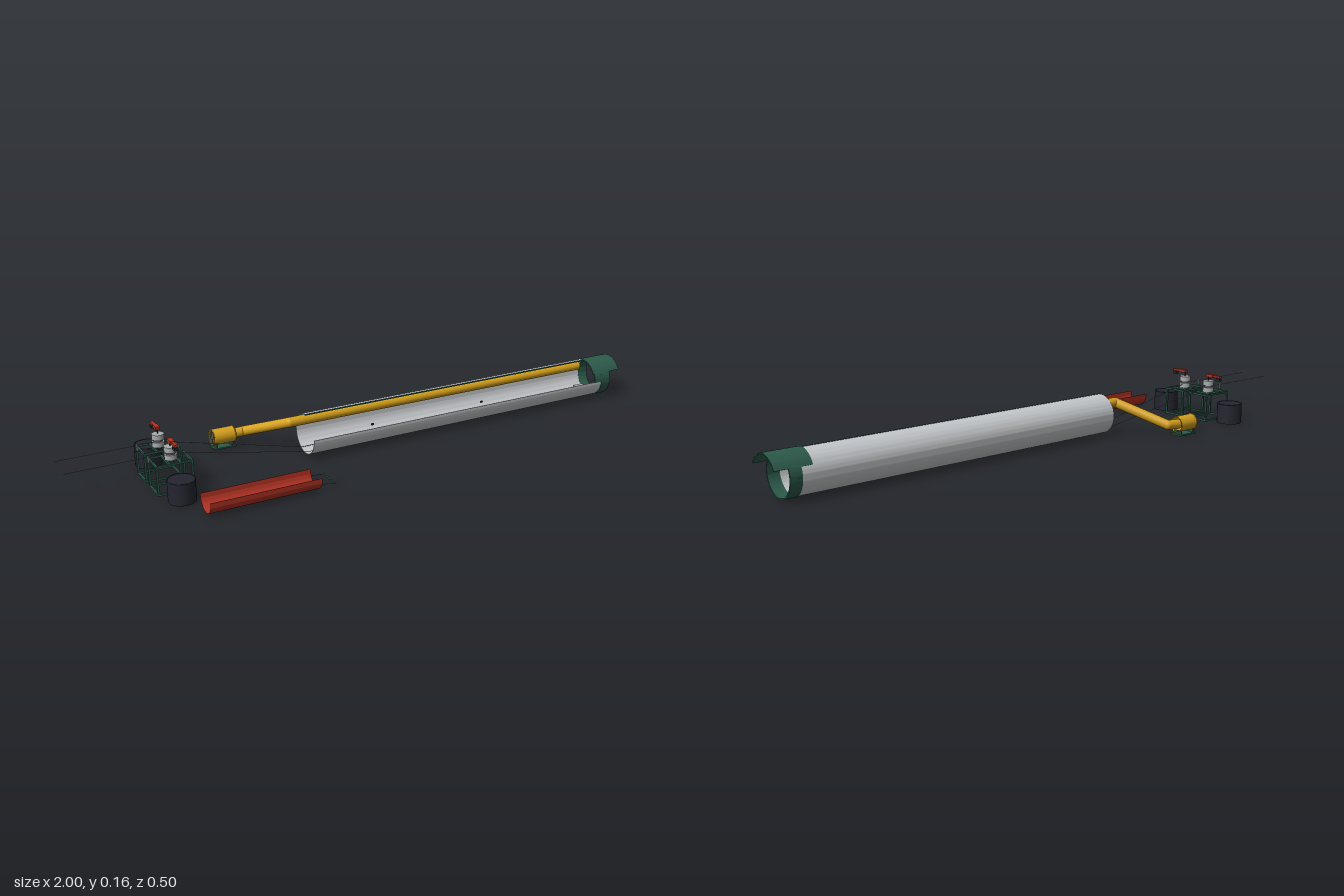
import * as THREE from 'three';
import { toCreasedNormals } from 'three/addons/utils/BufferGeometryUtils.js';

const mat = (name, color, side = THREE.FrontSide) => {
  const m = new THREE.MeshStandardMaterial({ color, side });
  m.name = name;
  return m;
};

export function createModel() {
  const root = new THREE.Group();
  root.name = 'cuttingPlant';
  const shellGrey = mat('shellGrey', 0xc6c9cc);
  const yellow = mat('ductYellow', 0xd6a11c, THREE.DoubleSide);
  const red = mat('red', 0xb23122);
  const green = mat('frameGreen', 0x2c5a4b);
  const dark = mat('drumDark', 0x252531);
  const steel = mat('steel', 0xa9adb0);
  const cableGrey = mat('cableGrey', 0x55585c);

  const add = (name, geo, material, p = [0, 0, 0], parent = root) => {
    const m = new THREE.Mesh(geo, material);
    m.name = name;
    m.position.set(...p);
    parent.add(m);
    return m;
  };
  const box = (name, size, p, material, parent) => add(name, new THREE.BoxGeometry(...size), material, p, parent);

  // round bar between two points
  const rod = (name, a, b, r, material, parent = root, sides = 6) => {
    const A = new THREE.Vector3(...a), B = new THREE.Vector3(...b), d = B.clone().sub(A);
    const m = add(name, new THREE.CylinderGeometry(r, r, d.length(), sides), material, [0, 0, 0], parent);
    m.position.copy(A).add(B).multiplyScalar(0.5);
    m.quaternion.setFromUnitVectors(new THREE.Vector3(0, 1, 0), d.normalize());
    return m;
  };

  // curved plate along x; angles in degrees: 0 back, 90 top, 180 front, 270 bottom
  const arcShell = (name, x0, x1, y, z, r, t, from, to, material) => {
    const a = THREE.MathUtils.degToRad(from), b = THREE.MathUtils.degToRad(to);
    const s = new THREE.Shape();
    s.absarc(0, 0, r, a, b, false);
    s.absarc(0, 0, r - t, b, a, true);
    s.closePath();
    const g = new THREE.ExtrudeGeometry(s, { depth: x1 - x0, bevelEnabled: false, curveSegments: 40 });
    g.rotateY(Math.PI / 2);
    return add(name, toCreasedNormals(g, 0.6), material, [x0, y, z]);
  };

  // long cutaway pipe with its rails
  const CY = 0.069, CZ = -0.036, R = 0.066;
  arcShell('mainPipe', -0.23, 0.95, CY, CZ, R, 0.002, 180, 450, shellGrey);
  box('topRail', [1.11, 0.004, 0.004], [0.325, CY + R - 0.001, CZ + 0.001], green);
  for (const x of [-0.02, 0.4])
    box('edgeClip', [0.008, 0.006, 0.004], [x, 0.083, CZ + R - 0.004], dark);

  // floor plates inside the pipe
  for (let i = 0; i < 4; i++) {
    const x = 0.045 + i * 0.194;
    box('floorPlate', [0.168, 0.005, 0.016], [x, 0.009, -0.025], steel);
    for (const s of [-1, 1])
      box('floorPlateEdge', [0.17, 0.006, 0.002], [x, 0.009, -0.025 + s * 0.009], cableGrey);
  }

  // end collar and hood
  arcShell('endCollar', 0.915, 0.953, CY, CZ, R + 0.0015, 0.004, 0, 359.9, green);
  arcShell('collarCheek', 0.885, 0.92, CY, CZ, R + 0.001, 0.003, 150, 182, green);
  arcShell('hood', 0.88, 0.995, CY, CZ, R + 0.0015, 0.003, 26, 154, green);

  // carriage hauled along the floor
  box('carriageBase', [0.07, 0.02, 0.034], [0.88, 0.017, -0.042], green);
  box('carriageTop', [0.04, 0.009, 0.026], [0.88, 0.0315, -0.044], steel);
  const scoop = add('carriageScoop', new THREE.CylinderGeometry(0.016, 0.011, 0.02, 4), steel, [0.89, 0.018, -0.018]);
  scoop.rotation.y = Math.PI / 4;

  // ventilation duct inside the pipe, then down to the fan
  const DY = 0.106, DZ = -0.066, FY = 0.038, FZ = -0.224, DR = 0.016;
  const ductPoints = [[0.88, DY, DZ], [-0.268, DY, DZ], [-0.362, FY + 0.003, FZ + 0.004], [-0.41, FY, FZ]];
  for (let i = 0; i < 3; i++) rod('duct', ductPoints[i], ductPoints[i + 1], DR, yellow, root, 28);
  for (const p of ductPoints.slice(1, 3)) add('ductElbow', new THREE.SphereGeometry(DR, 24, 16), yellow, p);

  // fan housing with grille and foot
  const fan = new THREE.Group();
  fan.name = 'fan';
  fan.position.set(-0.435, FY, FZ);
  root.add(fan);
  const housing = add('fanHousing', new THREE.CylinderGeometry(0.026, 0.026, 0.075, 32, 1, true), yellow, [0, 0, 0], fan);
  housing.rotation.z = Math.PI / 2;
  for (const x of [-0.037, 0.037]) {
    const rim = add('fanRim', new THREE.TorusGeometry(0.026, 0.0015, 6, 32), yellow, [x, 0, 0], fan);
    rim.rotation.y = Math.PI / 2;
  }
  for (let i = -4; i <= 4; i++) {
    const h = 2 * Math.sqrt(0.026 ** 2 - (i * 0.0055) ** 2);
    box('grilleUpright', [0.001, h, 0.0014], [-0.036, 0, i * 0.0055], steel, fan);
    box('grilleCrossbar', [0.001, 0.0014, h], [-0.035, i * 0.0055, 0], steel, fan);
  }
  box('fanFoot', [0.075, 0.005, 0.046], [0, -0.0345, 0], green, fan);
  for (const x of [-0.028, 0.028]) box('fanBracket', [0.006, 0.012, 0.034], [x, -0.027, 0], green, fan);

  // two mirrored winch stands
  const MZ = -0.055;
  for (const s of [1, -1]) {
    const Z = (z) => MZ + s * (z - MZ);
    const stand = new THREE.Group();
    stand.name = s > 0 ? 'frontWinch' : 'backWinch';
    root.add(stand);
    const xs = [-0.742, -0.633], zs = [-0.038, 0.037], T = 0.006;
    for (const x of xs) {
      for (const z of zs) box('standLeg', [T, 0.094, T], [x, 0.047, Z(z)], green, stand);
      for (const y of [0.003, 0.092]) box('standCrossbar', [T, T, 0.075], [x, y, Z(-0.0005)], green, stand);
    }
    for (const z of zs)
      for (const y of [0.003, 0.092]) box('standRail', [0.109, T, T], [-0.6875, y, Z(z)], green, stand);
    for (const x of [-0.702, -0.668]) box('motorBearer', [T, T, 0.075], [x, 0.092, Z(-0.0005)], green, stand);

    // drive, shaft and swing arm
    add('motorBase', new THREE.CylinderGeometry(0.019, 0.019, 0.016, 20), steel, [-0.685, 0.103, Z(0)], stand);
    add('motorNeck', new THREE.CylinderGeometry(0.014, 0.014, 0.008, 20), cableGrey, [-0.685, 0.114, Z(0)], stand);
    add('motorHead', new THREE.CylinderGeometry(0.019, 0.019, 0.017, 20), steel, [-0.685, 0.1265, Z(0)], stand);
    rod('shaft', [-0.685, 0.13, Z(0)], [-0.685, 0.152, Z(0)], 0.002, dark, stand, 10);
    box('swingArm', [0.01, 0.007, 0.062], [-0.685, 0.153, Z(0.0245)], red, stand);
    box('armHub', [0.014, 0.01, 0.03], [-0.685, 0.153, Z(0.009)], red, stand);
    box('armWeight', [0.012, 0.009, 0.018], [-0.685, 0.143, Z(0.046)], dark, stand);

    // drum beside the stand
    add('drum', new THREE.CylinderGeometry(0.042, 0.042, 0.067, 28), dark, [-0.69, 0.0335, Z(0.095)], stand);
    const lip = add('drumLip', new THREE.TorusGeometry(0.041, 0.0015, 6, 28), dark, [-0.69, 0.067, Z(0.095)], stand);
    lip.rotation.x = Math.PI / 2;

    // cable guide and cable run
    box('cablePost', [0.004, 0.022, 0.004], [-0.753, 0.104, Z(-0.004)], steel, stand);
    box('cablePostFoot', [0.016, 0.004, 0.006], [-0.748, 0.094, Z(-0.004)], green, stand);
    const run = [[-1, 0.111, Z(-0.004)], [-0.685, 0.111, Z(-0.004)], [-0.23, 0.017, CZ + s * 0.022], [0.9, 0.015, CZ + s * 0.03]];
    for (let i = 0; i < 3; i++) rod('cable', run[i], run[i + 1], 0.0008, cableGrey, stand);
    const pulley = add('pulley', new THREE.CylinderGeometry(0.005, 0.005, 0.004, 16), dark, [0.9, 0.016, CZ + s * 0.03], stand);
    pulley.rotation.x = Math.PI / 2;
  }

  // open trough with its tow bar
  arcShell('trough', -0.662, -0.312, 0.041, 0.209, 0.04, 0.0012, 172, 368, red);
  box('towBar', [0.004, 0.004, 0.076], [-0.27, 0.021, 0.209], green);
  for (const s of [-1, 1])
    rod('towLine', [-0.32, 0.026, 0.209 + s * 0.036], [-0.27, 0.021, 0.209 + s * 0.036], 0.0008, cableGrey);

  return root;
}
